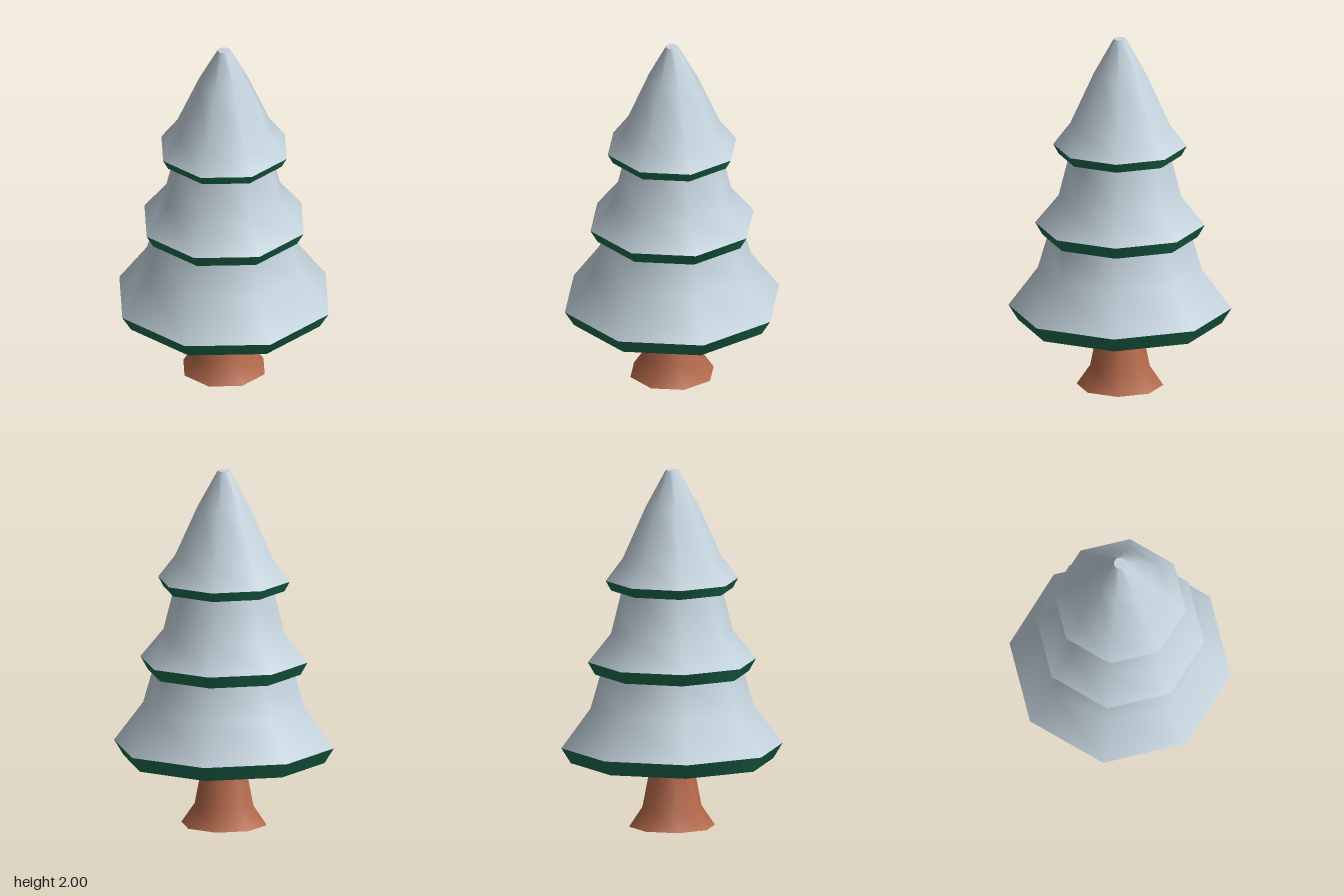
import * as THREE from 'three';

const SIDES = 8;
const snow = new THREE.MeshStandardMaterial({ color: 0xc3d2dc });
const green = new THREE.MeshStandardMaterial({ color: 0x1f7355 });
const bark = new THREE.MeshStandardMaterial({ color: 0xb5694a });

// Eight-sided turned surface from [radius, height] points, smooth within one profile
function turned(name, profile, material) {
  const points = profile.map(([r, y]) => new THREE.Vector2(r, y));
  const mesh = new THREE.Mesh(new THREE.LatheGeometry(points, SIDES), material);
  mesh.name = name;
  return mesh;
}

// One tier: flat underside, flared green rim and a snowy skirt
function tier(name, [rimRadius, rimY], skirt) {
  const group = new THREE.Group();
  group.name = name;
  group.add(
    turned('underside', [[0, rimY], [rimRadius, rimY]], green),
    turned('rim', [[rimRadius, rimY], skirt[0]], green),
    turned('snow', skirt, snow),
  );
  return group;
}

export function createModel() {
  const tree = new THREE.Group();
  tree.name = 'snowyTree';

  // Trunk with flared foot
  const trunk = new THREE.Group();
  trunk.name = 'trunk';
  trunk.add(
    turned('trunkBase', [[0, 0], [0.24, 0]], bark),
    turned('trunkSides', [[0.24, 0], [0.165, 0.11], [0.115, 0.37]], bark),
  );
  tree.add(trunk);

  // Foliage tiers, each running up to the underside of the next
  tree.add(
    tier('lowerTier', [0.565, 0.365], [[0.618, 0.45], [0.455, 0.67], [0.4, 0.86]]),
    tier('middleTier', [0.43, 0.86], [[0.47, 0.93], [0.34, 1.09], [0.28, 1.33]]),
    tier('upperTier', [0.34, 1.33], [[0.37, 1.385], [0.275, 1.51], [0.145, 1.8], [0.035, 2]]),
  );

  // Flat tip
  tree.add(turned('tip', [[0.035, 2], [0, 2]], snow));
  return tree;
}
